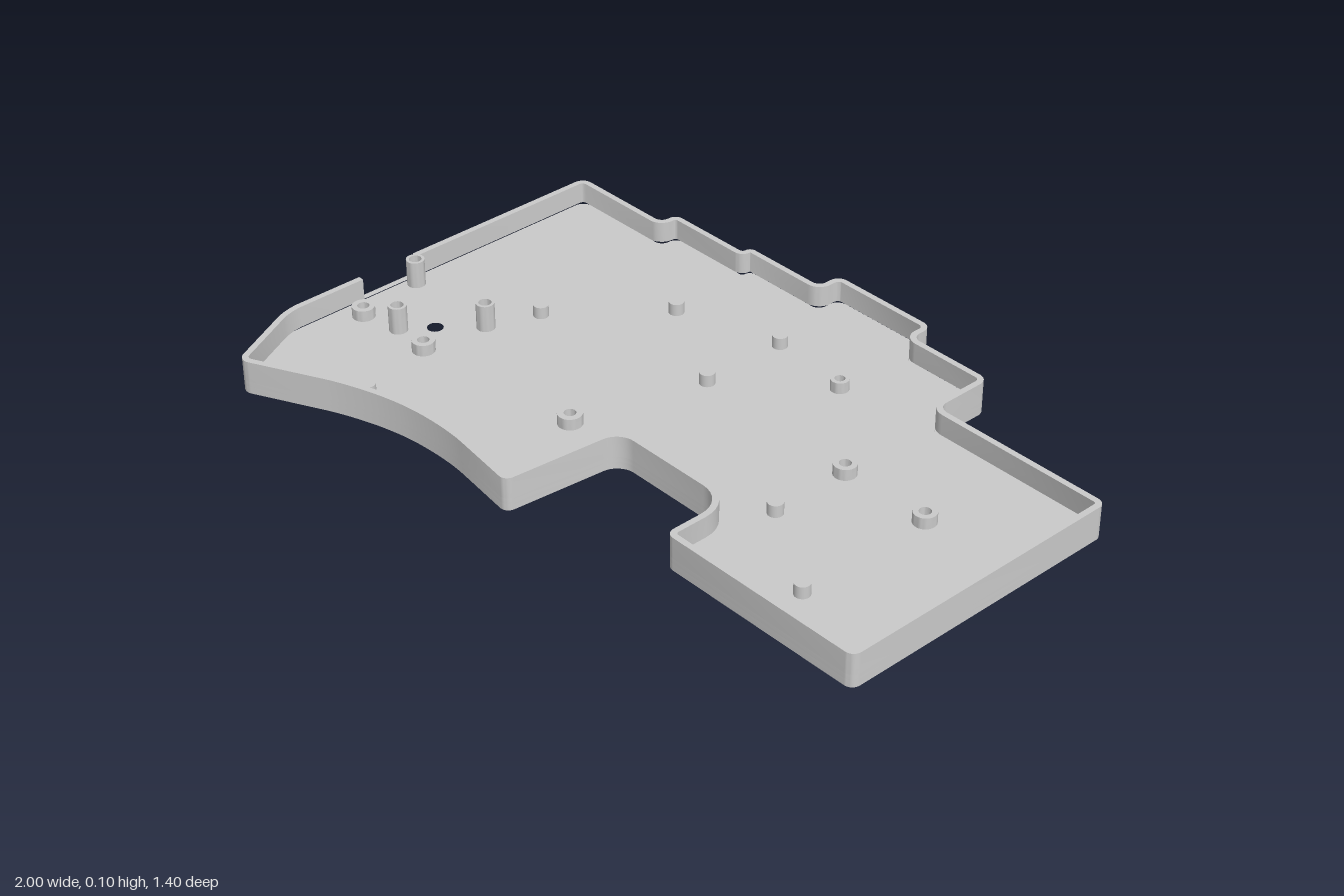
import * as THREE from 'three';
import { toCreasedNormals } from 'three/addons/utils/BufferGeometryUtils.js';

const FLOOR = 0.02, RIM = 0.095, NOTCH = 0.035, WALL = 0.017;

// Outline corners [x, z, rounding length], clockwise from above, starting at the side notch
const OUTLINE = [
  [-1, 0.06, 0], [-1, -0.545, 0.03],
  [-0.675, -0.545, 0.025], [-0.675, -0.6, 0.025],
  [-0.41, -0.6, 0.011], [-0.41, -0.63, 0.018],
  [-0.147, -0.63, 0.025], [-0.147, -0.703, 0.03],
  [0.193, -0.703, 0.03], [0.193, -0.63, 0.025],
  [0.457, -0.63, 0.03], [0.457, -0.445, 0.03],
  [1, -0.445, 0.025], [1, 0.4, 0.025],
  [0.388, 0.4, 0.025], [0.388, 0.207, 0.08],
  [0.008, 0.207, 0.05], [-0.024, 0.544, 0.025],
  [-0.34, 0.503, 0.12], [-0.58, 0.556, 0.1],
  [-0.885, 0.71, 0.03], [-1, 0.48, 0.04], [-1, 0.24, 0],
];

// Rounded outline in (x, -z), moved inward by d
function outline(d) {
  const n = OUTLINE.length;
  const p = OUTLINE.map(([x, z]) => new THREE.Vector2(x, -z));
  const dir = p.map((a, i) => p[(i + 1) % n].clone().sub(a).normalize());
  return p.flatMap((a, i) => {
    const u = dir[(i + n - 1) % n], v = dir[i], t0 = OUTLINE[i][2];
    const k = (v.x * u.y - v.y * u.x) / (1 + u.dot(v)); // tan of half the turn, positive at convex corners
    const pos = new THREE.Vector2(u.y, -u.x).multiplyScalar(d).addScaledVector(u, -d * k).add(a);
    if (!t0) return [pos];
    const t = Math.max(t0 - d * k, 0.001);
    const at = (w, s) => pos.clone().addScaledVector(w, s);
    return new THREE.CubicBezierCurve(at(u, -t), at(u, -t * 0.45), at(v, t * 0.45), at(v, t)).getPoints(8);
  });
}

function slab(shape, y0, y1) {
  const g = new THREE.ExtrudeGeometry(shape, { depth: y1 - y0, bevelEnabled: false, curveSegments: 24 });
  g.rotateX(-Math.PI / 2).translate(0, y0, 0);
  return toCreasedNormals(g, 0.5);
}

// Hollow post; with a bottom height above the floor the bore is blind
function tubePost(outer, inner, top, bottom) {
  const pts = [[outer, FLOOR], [outer, top], [inner, top], [inner, bottom]];
  if (bottom > FLOOR) pts.push([0, bottom]);
  return toCreasedNormals(new THREE.LatheGeometry(pts.map(([x, y]) => new THREE.Vector2(x, y)), 28), 0.5);
}

export function createModel() {
  const model = new THREE.Group();
  const grey = new THREE.MeshStandardMaterial({ color: 0xcacaca });
  grey.name = 'grey plastic';
  const add = (name, geometry, x = 0, z = 0) => {
    const mesh = new THREE.Mesh(geometry, grey);
    mesh.name = name;
    mesh.position.set(x, 0, z);
    model.add(mesh);
  };

  // Screw standoffs: x, z, outer radius, bore radius
  const standoffs = [
    [0.157, -0.405, 0.025, 0.014], [0.428, -0.152, 0.031, 0.016], [0.695, -0.152, 0.031, 0.016],
    [-0.187, 0.201, 0.033, 0.016], [-0.936, 0.278, 0.031, 0.016], [-0.698, 0.264, 0.031, 0.016],
  ];
  const outer = outline(0), inner = outline(WALL);

  // Floor plate with screw bores and one open access hole
  const floor = new THREE.Shape(outer);
  for (const [x, z, , r] of [...standoffs, [-0.764, 0.174, 0, 0.022]]) {
    floor.holes.push(new THREE.Path().absarc(x, -z, r, 0, Math.PI * 2, true));
  }
  add('floorPlate', slab(floor, 0, FLOOR));

  // Wall: full ring below, open at the side notch above
  const ring = new THREE.Shape(outer);
  ring.holes.push(new THREE.Path(inner));
  add('lowerWall', slab(ring, FLOOR, NOTCH));
  add('upperWall', slab(new THREE.Shape([...outer, ...[...inner].reverse()]), NOTCH, RIM));

  for (const [x, z, r, bore] of standoffs) {
    add('screwStandoff', tubePost(r, bore, 0.052, FLOOR), x, z);
  }

  // Tall posts with blind bores
  for (const [x, z] of [[-0.971, 0.075], [-0.82, 0.252], [-0.675, 0.075]]) {
    add('tallPost', tubePost(0.025, 0.017, 0.097, 0.04), x, z);
  }

  // Solid support pegs
  for (const [x, z] of [[-0.09, -0.433], [-0.393, -0.345], [-0.09, -0.175], [-0.623, -0.07],
    [0.43, 0.085], [0.697, 0.257], [-0.63, 0.495]]) {
    add('supportPeg', new THREE.CylinderGeometry(0.021, 0.021, 0.035, 24).translate(0, FLOOR + 0.0165, 0), x, z);
  }
  return model;
}
